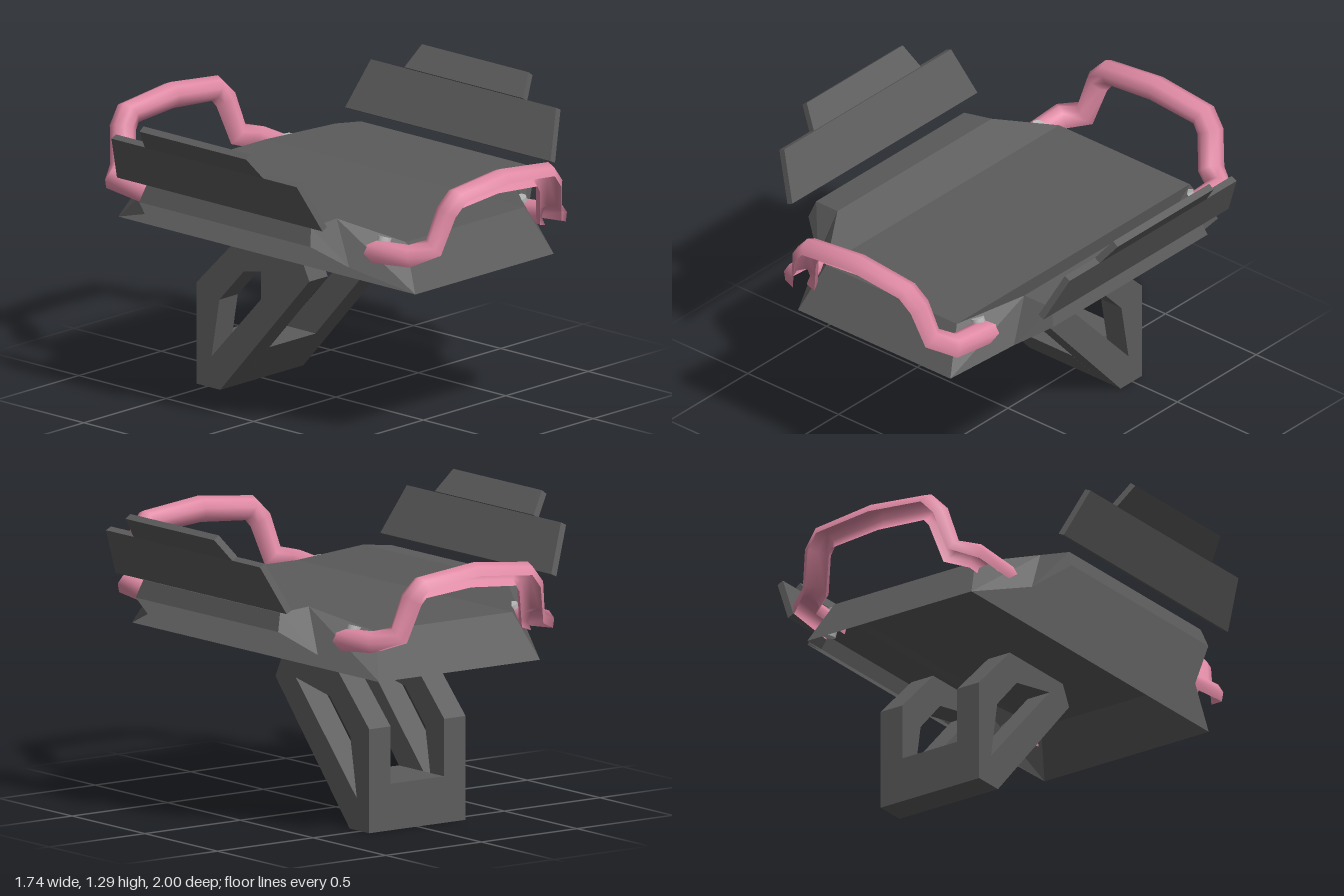
import * as THREE from 'three';

const mat = (name, color, side = THREE.FrontSide) => {
  const m = new THREE.MeshStandardMaterial({ color, side });
  m.name = name;
  return m;
};

function mesh(name, geometry, material) {
  const m = new THREE.Mesh(geometry, material);
  m.name = name;
  return m;
}

// Faces of one quadrant of the open-bottomed body, by part
function bodyFaces() {
  const a = [0.42, 0.702, 0.85], b = [0.36, 0.895, 0.74], c = [0.515, 0.98, 0.49];
  const d = [0.65, 0.965, 0.47], e = [0.675, 0.89, 0.49], f = [0.54, 0.791, 0.585];
  const midZ = (p) => [p[0], p[1], 0];
  const midX = (p) => [0, p[1], p[2]];
  return {
    shell: [
      [b, midZ(b), [0, b[1], 0], midX(b)], // flat top
      [b, c, midZ(c), midZ(b)], // raised margin
      [c, d, midZ(d), midZ(c)], // rim
      [d, e, midZ(e), midZ(d)], // rim edge
      [a, b, midX(b), midX(a)], // end wall
      [a, f, c, b], // corner
      [f, e, d, c], // corner chamfer
    ],
    sides: [[f, a, midZ(a), midZ(e), e]],
  };
}

// Mirror quadrant faces in x and z
function mirroredGeometry(faces) {
  const pos = [];
  for (const sx of [1, -1]) for (const sz of [1, -1]) {
    for (const face of faces) {
      const q = face.map(([x, y, z]) => [x * sx, y, z * sz]);
      if (sx * sz < 0) q.reverse().unshift(q.pop());
      for (let i = 1; i < q.length - 1; i++) pos.push(...q[0], ...q[i], ...q[i + 1]);
    }
  }
  const g = new THREE.BufferGeometry();
  g.setAttribute('position', new THREE.Float32BufferAttribute(pos, 3));
  g.computeVertexNormals();
  return g;
}

// Tapered slab between two (x, y) points with a half length at each
function slabGeometry(low, high, halfLow, halfHigh, thick) {
  const dir = new THREE.Vector2(high[0] - low[0], high[1] - low[1]).normalize();
  const g = new THREE.BoxGeometry(1, 1, 1).toNonIndexed();
  const p = g.attributes.position;
  for (let i = 0; i < p.count; i++) {
    const up = p.getY(i) > 0;
    const end = up ? high : low;
    const t = p.getX(i) * thick;
    const half = up ? halfHigh : halfLow;
    p.setXYZ(i, end[0] + dir.y * t, end[1] - dir.x * t, p.getZ(i) * 2 * half);
  }
  g.computeVertexNormals();
  return g;
}

// Sweep an open arc (a channel) along a polyline, keeping its bends
function channelGeometry(path, radius, halfAngle, segments) {
  const pts = path.map((p) => new THREE.Vector3(...p));
  const dirs = pts.slice(1).map((p, i) => p.clone().sub(pts[i]).normalize());
  const pos = [], index = [];
  const q = new THREE.Quaternion();
  const normal = new THREE.Vector3(0, 1, 0);
  const row = segments + 1;
  let last = null;
  pts.forEach((p, i) => {
    const t = (dirs[i - 1] || dirs[0]).clone().add(dirs[i] || dirs[dirs.length - 1]).normalize();
    if (last) normal.applyQuaternion(q.setFromUnitVectors(last, t));
    else normal.addScaledVector(t, -normal.dot(t)).normalize();
    last = t;
    const side = t.clone().cross(normal);
    for (let j = 0; j < row; j++) {
      const ang = ((2 * j) / segments - 1) * halfAngle;
      const v = p.clone().addScaledVector(normal, Math.cos(ang) * radius)
        .addScaledVector(side, Math.sin(ang) * radius);
      pos.push(v.x, v.y, v.z);
      if (i === 0 || j === segments) continue;
      const r0 = (i - 1) * row + j, r1 = i * row + j;
      index.push(r0, r0 + 1, r1 + 1, r0, r1 + 1, r1);
    }
  });
  const g = new THREE.BufferGeometry();
  g.setAttribute('position', new THREE.Float32BufferAttribute(pos, 3));
  g.setIndex(index);
  g.computeVertexNormals();
  return g;
}

// Extrude a (z, y) outline across x, starting at x0
function sideExtrude(outline, holes, x0, width) {
  const toV = (l) => l.map(([z, y]) => new THREE.Vector2(-z, y));
  const shape = new THREE.Shape(toV(outline));
  shape.holes = holes.map((h) => new THREE.Path(toV(h)));
  const g = new THREE.ExtrudeGeometry(shape, { depth: width, bevelEnabled: false });
  return g.rotateY(Math.PI / 2).translate(x0, 0, 0);
}

export function createModel() {
  const model = new THREE.Group();
  model.name = 'model';
  const grey = mat('darkGrey', 0x5c5c5c, THREE.DoubleSide);
  const pink = mat('pink', 0xe08aa5, THREE.DoubleSide);
  const light = mat('lightGrey', 0xb8b8b8, THREE.DoubleSide);

  // Tray-like body with lighter long sides
  const faces = bodyFaces();
  model.add(mesh('bodyShell', mirroredGeometry(faces.shell), grey));
  model.add(mesh('bodySides', mirroredGeometry(faces.sides), light));

  // Floating side fins, each a lower and an upper slab
  for (const [name, turn] of [['leftFin', 0], ['rightFin', Math.PI]]) {
    const fin = new THREE.Group();
    fin.name = name;
    fin.add(mesh('finLower', slabGeometry([0.692, 0.99], [0.787, 1.19], 0.588, 0.53, 0.03), grey));
    fin.add(mesh('finUpper', slabGeometry([0.787, 1.19], [0.857, 1.282], 0.34, 0.305, 0.03), grey));
    fin.rotation.y = turn;
    model.add(fin);
  }

  // Carry handles at both ends, hollow underneath, with a bolt at each foot
  const half = [[0.26, 1.097, 0.945], [0.306, 1.045, 0.933], [0.345, 0.89, 0.895],
    [0.435, 0.862, 0.84], [0.437, 0.842, 0.62]];
  const path = [...half.map(([x, y, z]) => [-x, y, z]).reverse(), [0, 1.122, 0.945], ...half];
  const handleGeo = channelGeometry(path, 0.056, THREE.MathUtils.degToRad(125), 6);
  const boltGeo = new THREE.CylinderGeometry(0.03, 0.03, 0.12, 12);
  for (const [name, turn] of [['frontHandle', 0], ['backHandle', Math.PI]]) {
    const handle = new THREE.Group();
    handle.name = name;
    handle.add(mesh('handleBar', handleGeo, pink));
    for (const s of [1, -1]) {
      const bolt = mesh('handleBolt', boltGeo, light);
      bolt.position.set(0.425 * s, 0.855, 0.665);
      bolt.rotation.z = 0.3 * s;
      handle.add(bolt);
    }
    handle.rotation.y = turn;
    model.add(handle);
  }

  // Kickstand: two pierced legs joined by a crossbar at the foot
  const outline = [[0.085, 0.57], [0.04, 0.66], [-0.34, 0.66], [-0.56, 0.44], [-0.56, 0], [-0.425, 0]];
  const hole = [[-0.475, 0.135], [-0.43, 0.39], [-0.29, 0.54], [-0.055, 0.585]];
  const bar = [[-0.248, 0.197], [-0.56, 0.197], [-0.56, 0], [-0.425, 0]];
  const stand = new THREE.Group();
  stand.name = 'kickstand';
  stand.add(mesh('leftLeg', sideExtrude(outline, [hole], 0.14, 0.112), grey));
  stand.add(mesh('rightLeg', sideExtrude(outline, [hole], -0.252, 0.112), grey));
  stand.add(mesh('crossbar', sideExtrude(bar, [], -0.14, 0.28), grey));
  model.add(stand);

  return model;
}
